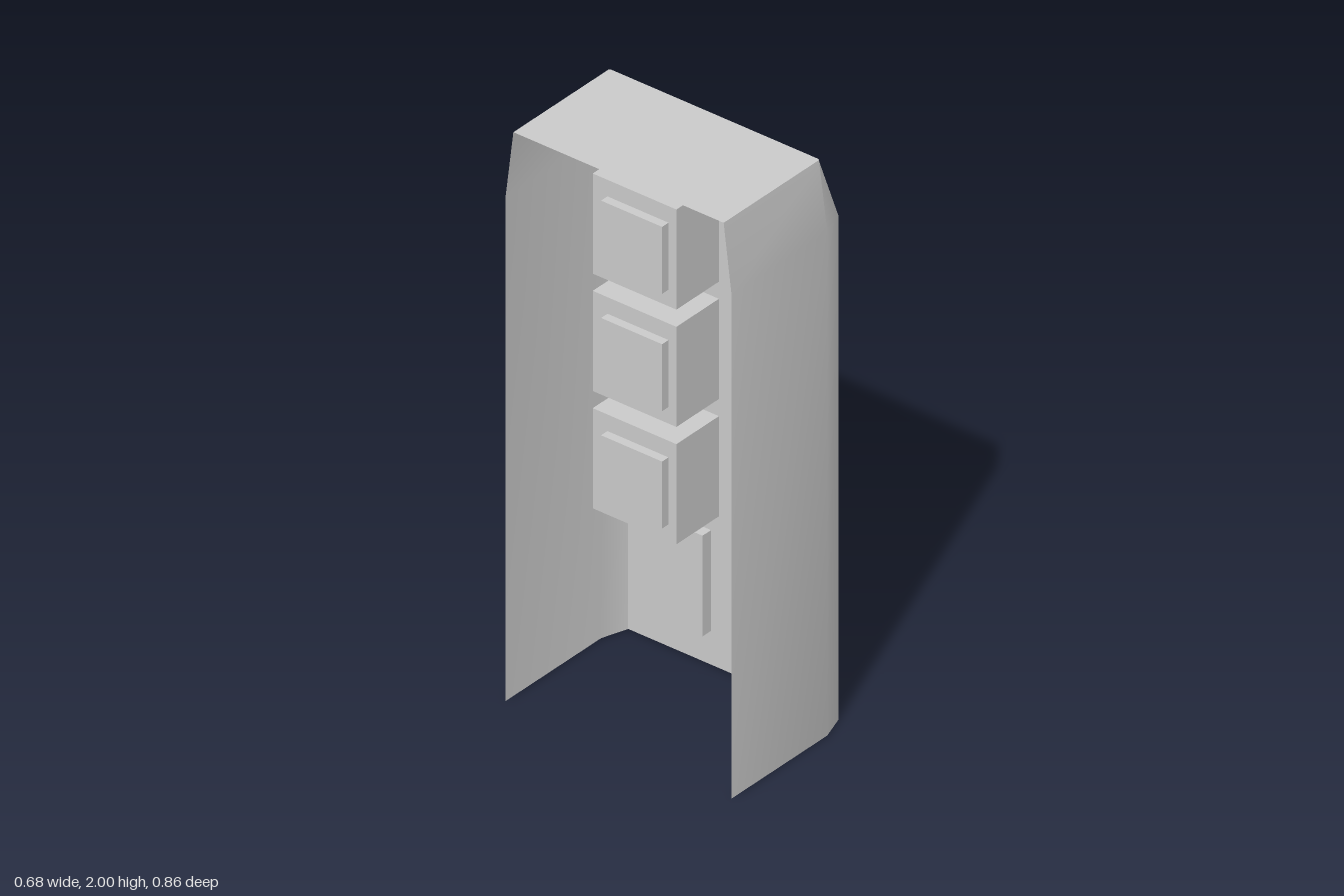
import * as THREE from 'three';
import { toCreasedNormals } from 'three/addons/utils/BufferGeometryUtils.js';

const material = new THREE.MeshStandardMaterial({ color: 0xcccccc, side: THREE.DoubleSide });
const FRONT = 0.2; // x of the street facade

// Rectangle on the facade: z from a (left) to b (right), y from bottom to top
const rect = (a, b, bottom, top) => ({ a, b, bottom, top });
const inset = (r, d, bottom = d) => rect(r.a - d, r.b + d, r.bottom + bottom, r.top - d);

function outline(r, Type) {
  return new Type([[r.a, r.bottom], [r.b, r.bottom], [r.b, r.top], [r.a, r.top]]
    .map(([z, y]) => new THREE.Vector2(-z, y)));
}

function add(parent, name, geometry) {
  const mesh = new THREE.Mesh(geometry, material);
  mesh.name = name;
  parent.add(mesh);
  return mesh;
}

// Flat or thick plate facing +x, with rectangular holes
function plate(r, holes, x, depth = 0) {
  const shape = outline(r, THREE.Shape);
  holes.forEach((h) => shape.holes.push(outline(h, THREE.Path)));
  const geometry = depth
    ? new THREE.ExtrudeGeometry(shape, { depth, bevelEnabled: false })
    : new THREE.ShapeGeometry(shape);
  return geometry.rotateY(Math.PI / 2).translate(x, 0, 0);
}

function block(r, x0, x1) {
  return new THREE.BoxGeometry(x1 - x0, r.top - r.bottom, r.a - r.b)
    .translate((x0 + x1) / 2, (r.top + r.bottom) / 2, (r.a + r.b) / 2);
}

// Box open towards +x, and also towards -x when backless
function niche(r, x0, x1, backless = false) {
  const g = block(r, x0, x1);
  g.setIndex(Array.from(g.index.array).slice(backless ? 12 : 6));
  g.clearGroups();
  return g;
}

// Side walls and tapered roof, lofted through three rings that are open at the back
function shellGeometry() {
  const ring = (y, x1, z1, x2, z2) =>
    [[-0.34, z1], [x1, z1], [x2, z2], [x2, -z2], [x1, -z1], [-0.34, -z1]].map(([x, z]) => [x, y, z]);
  const base = ring(0, 0.11, 0.43, FRONT, 0.4);
  const eaves = ring(1.76, 0.11, 0.43, FRONT, 0.4);
  const crown = ring(2, 0.108, 0.4, 0.112, 0.394);
  const pos = [];
  const quad = (a, b, c, d) => pos.push(...a, ...b, ...c, ...a, ...c, ...d);
  for (let i = 0; i < 5; i++) {
    if (i !== 2) quad(base[i], base[i + 1], eaves[i + 1], eaves[i]); // facade is separate
    quad(eaves[i], eaves[i + 1], crown[i + 1], crown[i]);
  }
  quad(crown[0], crown[1], crown[4], crown[5]);
  quad(crown[1], crown[2], crown[3], crown[4]);
  const g = new THREE.BufferGeometry();
  g.setAttribute('position', new THREE.Float32BufferAttribute(pos, 3));
  return toCreasedNormals(g, 0.6);
}

export function createModel() {
  const model = new THREE.Group();
  model.name = 'townhouse';
  add(model, 'wallsAndRoof', shellGeometry());

  const floors = [0.12, 0.53, 0.94, 1.35];
  const height = 0.35;
  const doorway = rect(-0.085, -0.347, 0.118, 0.47);
  const balconies = floors.slice(1).map((y) => rect(-0.055, -0.373, y, y + height));

  // Facade with openings for the balconies and doorway
  add(model, 'facade', plate(rect(0.4, -0.4, 0, 1.76), [doorway, ...balconies], FRONT));

  // Projecting window surrounds, deeper on the two lower floors
  floors.forEach((y, i) => {
    const r = rect(0.344, -0.03, y, y + height);
    add(model, 'windowFrame', plate(r, [inset(r, 0.029, 0.058), ].map((h) => ({ ...h, top: r.top - 0.058 })),
      FRONT, i < 2 ? 0.04 : 0.03));
  });

  // Deep balconies, each with a recessed window in the back wall
  balconies.forEach((r) => {
    const balcony = new THREE.Group();
    balcony.name = 'balcony';
    const opening = rect(-0.085, -0.317, r.bottom + 0.058, r.top - 0.058);
    add(balcony, 'balconyWalls', niche(r, 0, FRONT, true));
    add(balcony, 'balconyBackWall', plate(r, [opening], 0));
    add(balcony, 'balconyWindow', niche(opening, -0.03, 0));
    model.add(balcony);
  });

  // Entrance: recess, raised door frame and door
  add(model, 'doorRecess', niche(doorway, 0.16, FRONT));
  const frame = rect(-0.115, -0.313, 0.118, 0.413);
  const leaf = rect(-0.14, -0.288, 0.118, 0.353);
  add(model, 'doorFrame', plate(frame, [{ ...leaf, bottom: 0.119 }], 0.16, 0.03));
  add(model, 'door', block(leaf, 0.16, 0.166));

  // Entrance steps
  [0.336, 0.307, 0.275, 0.243].forEach((x, i) => {
    add(model, 'step', block(rect(-0.085, -0.347, i * 0.0295, (i + 1) * 0.0295), FRONT, x));
  });
  return model;
}
